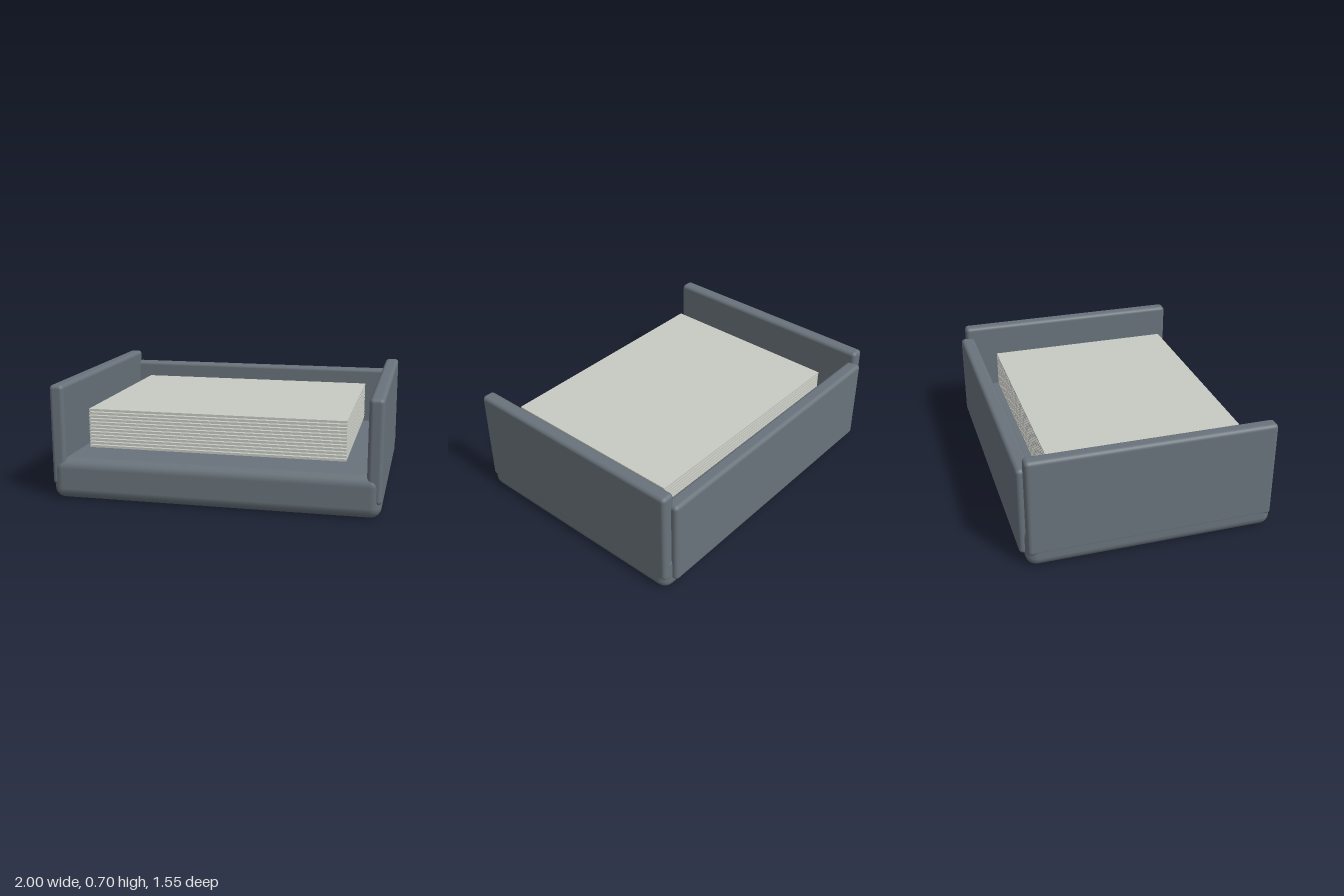
import * as THREE from 'three';
import { RoundedBoxGeometry } from 'three/addons/geometries/RoundedBoxGeometry.js';

export function createModel() {
  const model = new THREE.Group();
  model.name = 'paperTray';

  const grey = new THREE.MeshStandardMaterial({ color: 0x69737b });
  grey.name = 'slate grey';
  const paper = new THREE.MeshStandardMaterial({ color: 0xc8cac3 });
  paper.name = 'paper';

  // Rounded block given by its min and max corners
  function block(name, [x0, y0, z0], [x1, y1, z1], radius) {
    const geometry = new RoundedBoxGeometry(x1 - x0, y1 - y0, z1 - z0, 3, radius);
    const mesh = new THREE.Mesh(geometry, grey);
    mesh.name = name;
    mesh.position.set((x0 + x1) / 2, (y0 + y1) / 2, (z0 + z1) / 2);
    model.add(mesh);
  }

  // Tray body: thick base, two side walls and a lower back wall
  block('base', [-0.999, 0, -0.745], [0.999, 0.255, 0.775], 0.065);
  block('leftWall', [0.912, 0.085, -0.737], [1, 0.705, 0.765], 0.025);
  block('rightWall', [-1, 0.085, -0.737], [-0.912, 0.705, 0.765], 0.025);
  block('backWall', [-0.94, 0.07, -0.775], [0.94, 0.63, -0.682], 0.025);

  // Stack of thin sheets with small gaps between them
  const stack = new THREE.Group();
  stack.name = 'paperStack';
  const sheetGeometry = new THREE.BoxGeometry(1.57, 0.014, 1.22);
  const count = 12, bottom = 0.311, pitch = 0.0205;
  for (let i = 0; i < count; i++) {
    const sheet = new THREE.Mesh(sheetGeometry, paper);
    sheet.name = `sheet${i + 1}`;
    sheet.position.set(0, bottom + 0.007 + i * pitch, 0.06);
    stack.add(sheet);
  }
  model.add(stack);

  return model;
}
